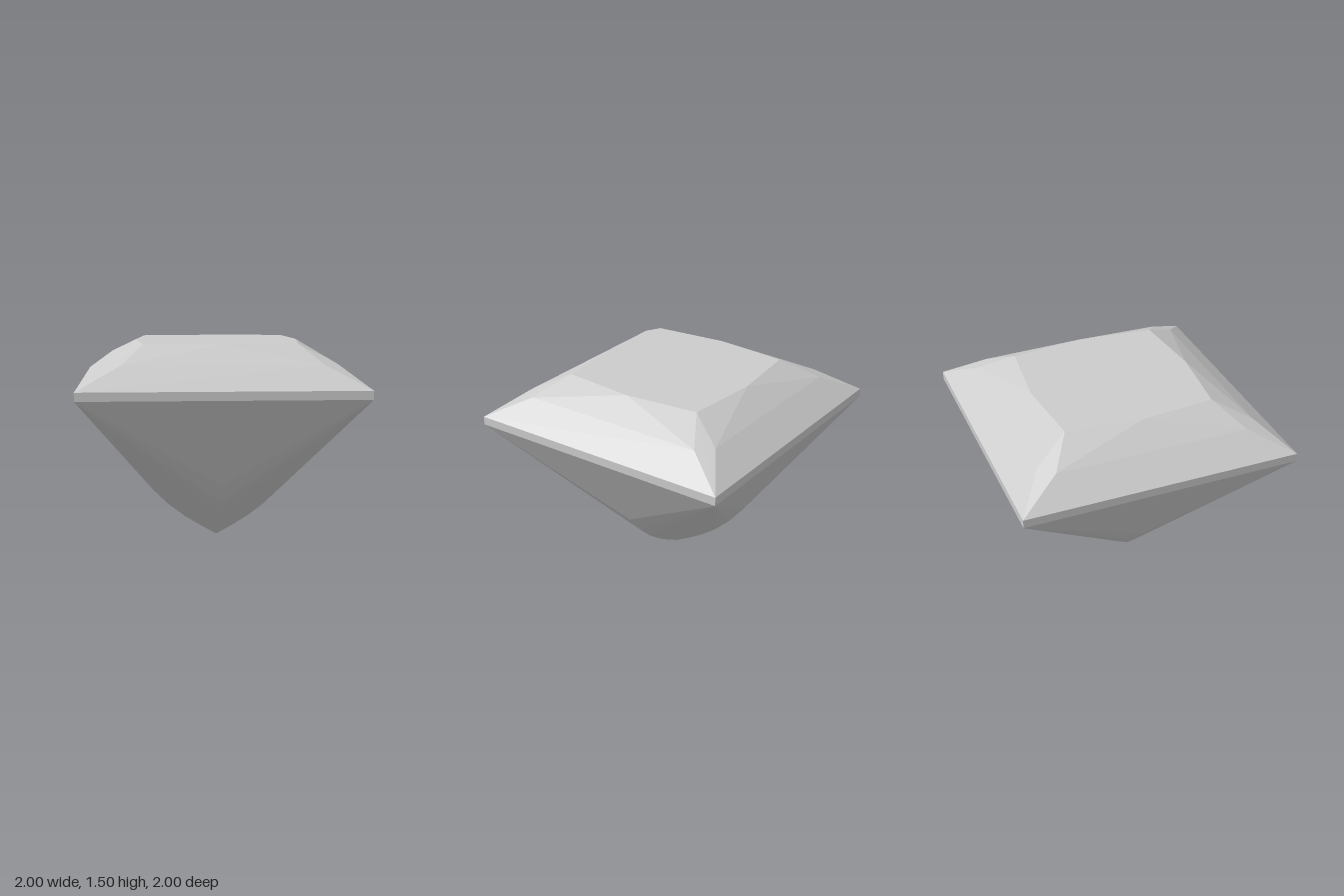
import * as THREE from 'three';

const TABLE_Y = 1.495, STAR_Y = 1.365, GIRDLE_TOP = 1.207, GIRDLE_BOTTOM = 1.146;

// Repeats the facets of the +z side on all four sides; each facet is a convex polygon.
function cutStone(name, facets, material) {
  const positions = [];
  for (let side = 0; side < 4; side++) {
    const turn = ([x, y, z]) => {
      for (let i = 0; i < side; i++) [x, z] = [z, -x];
      return [x, y, z];
    };
    for (const facet of facets) {
      const p = facet.map(turn);
      for (let i = 1; i < p.length - 1; i++) positions.push(...p[0], ...p[i], ...p[i + 1]);
    }
  }
  const geometry = new THREE.BufferGeometry();
  geometry.setAttribute('position', new THREE.Float32BufferAttribute(positions, 3));
  geometry.computeVertexNormals();
  const mesh = new THREE.Mesh(geometry, material);
  mesh.name = name;
  return mesh;
}

export function createModel() {
  const material = new THREE.MeshStandardMaterial({ color: 0xcccccc, flatShading: true });
  const group = new THREE.Group();
  group.name = 'squareCutGem';

  // Corners of one side
  const topL = [-1, GIRDLE_TOP, 1], topR = [1, GIRDLE_TOP, 1];
  const lowL = [-1, GIRDLE_BOTTOM, 1], lowR = [1, GIRDLE_BOTTOM, 1];
  const starL = [-0.7, STAR_Y, 0.8], starR = [0.7, STAR_Y, 0.8], starSide = [0.8, STAR_Y, 0.7];
  const tableMid = [0, TABLE_Y, 0.6];
  const tableL = [-0.545, TABLE_Y, 0.545], tableR = [0.545, TABLE_Y, 0.545];

  // Flat eight-sided top
  group.add(cutStone('table', [[[0, TABLE_Y, 0], tableL, tableMid, tableR]], material));

  // Sloping upper facets
  group.add(cutStone('crown', [
    [topL, topR, starR, starL],
    [starL, starR, tableMid],
    [starR, tableR, tableMid],
    [starL, tableMid, tableL],
    [topR, starSide, tableR, starR],
  ], material));

  // Thin vertical band
  group.add(cutStone('girdle', [[lowL, lowR, topR, topL]], material));

  // Lower facets: chevrons fanning from the corners down to the point
  const keel = [[0.6, 0.49], [0.48, 0.345], [0.36, 0.23], [0.24, 0.14], [0.12, 0.066], [0, 0]]
    .map(([z, y]) => [0, y, z]);
  const pavilion = [[lowL, keel[0], lowR]];
  for (let i = 0; i < keel.length - 1; i++) {
    pavilion.push([lowR, keel[i], keel[i + 1]], [lowL, keel[i + 1], keel[i]]);
  }
  group.add(cutStone('pavilion', pavilion, material));

  return group;
}
